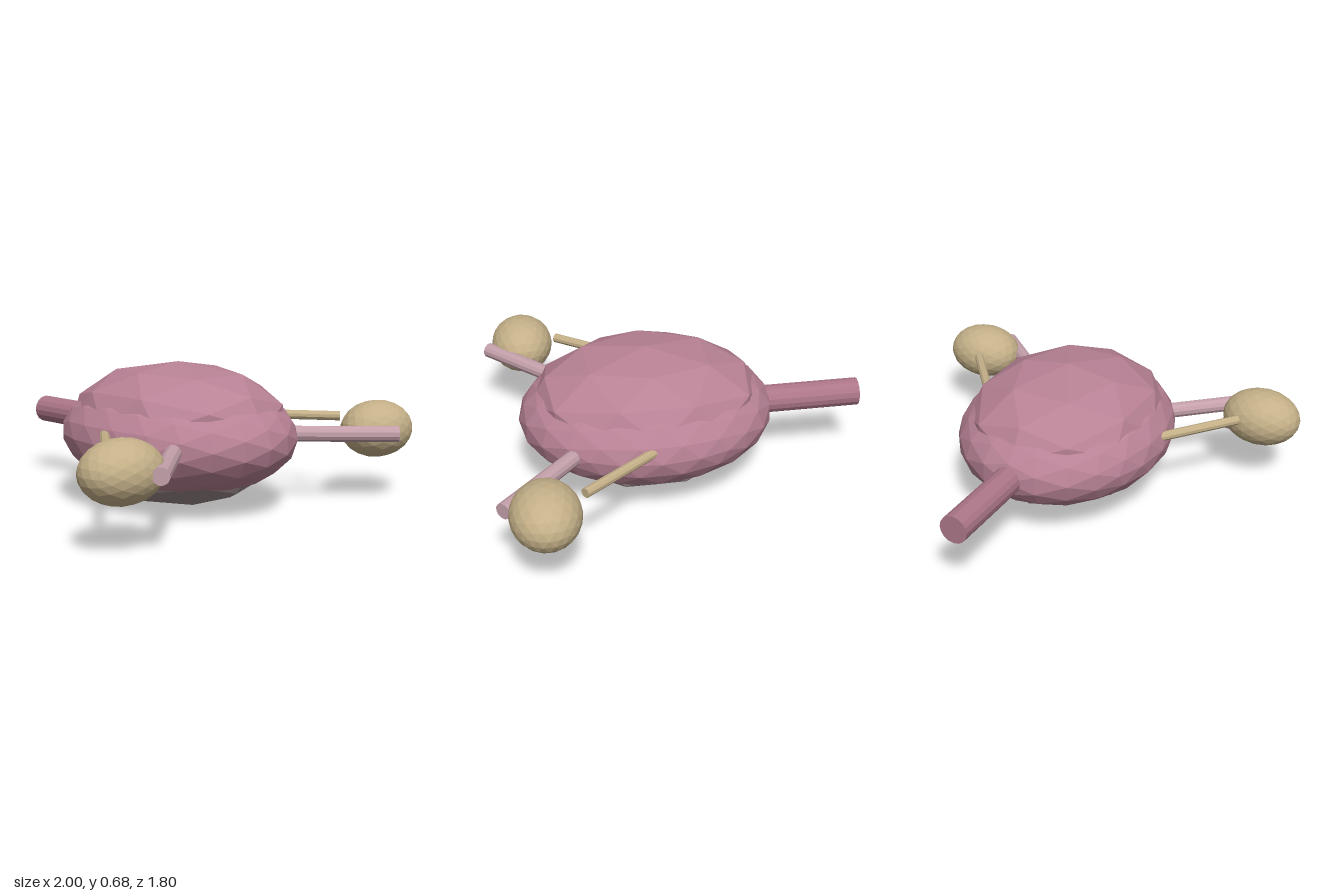
import * as THREE from 'three';

const mat = (name, color) => {
  const m = new THREE.MeshStandardMaterial({ color, flatShading: true });
  m.name = name;
  return m;
};

export function createModel() {
  const group = new THREE.Group();
  const rose = mat('rose', 0xb88295);
  const darkRose = mat('darkRose', 0xac7688);
  const paleRose = mat('paleRose', 0xc4a0aa);
  const sand = mat('sand', 0xc4b088);
  const taupe = mat('taupe', 0x988888);

  // Faceted ellipsoid
  function blob(name, material, detail, center, radii) {
    const mesh = new THREE.Mesh(new THREE.IcosahedronGeometry(1, detail).scale(...radii), material);
    mesh.name = name;
    mesh.position.set(...center);
    group.add(mesh);
  }

  // Straight rod between two points
  function rod(name, material, radius, sides, from, to) {
    const a = new THREE.Vector3(...from), b = new THREE.Vector3(...to);
    const dir = b.clone().sub(a);
    const mesh = new THREE.Mesh(new THREE.CylinderGeometry(radius, radius, dir.length(), sides), material);
    mesh.name = name;
    mesh.position.copy(a).add(b).multiplyScalar(0.5);
    mesh.quaternion.setFromUnitVectors(new THREE.Vector3(0, 1, 0), dir.normalize());
    group.add(mesh);
  }

  // Body with a coarser upper shell and an underside pad
  blob('body', rose, 3, [0, 0.34, 0.15], [0.51, 0.28, 0.61]);
  blob('upperShell', rose, 1, [0, 0.42, 0.15], [0.47, 0.26, 0.56]);
  blob('undersidePad', taupe, 1, [0, 0.22, 0.15], [0.39, 0.215, 0.465]);

  // Rear stem
  rod('rearStem', darkRose, 0.068, 16, [0, 0.34, -0.3], [0, 0.34, -0.9]);

  // Paired tubes, cords and side bulbs
  for (const [side, s] of [['left', 1], ['right', -1]]) {
    rod(side + 'Tube', paleRose, 0.038, 12, [s * 0.33, 0.34, 0.49], [s * 0.75, 0.34, 0.87]);
    rod(side + 'Cord', sand, 0.023, 10, [s * 0.46, 0.387, 0.165], [s * 0.74, 0.387, 0.52]);
    blob(side + 'Bulb', sand, 3, [s * 0.805, 0.34, 0.695], [0.195, 0.138, 0.157]);
  }

  // Small nodule on the right bulb
  blob('nodule', paleRose, 1, [-0.65, 0.285, 0.665], [0.04, 0.038, 0.04]);

  return group;
}
